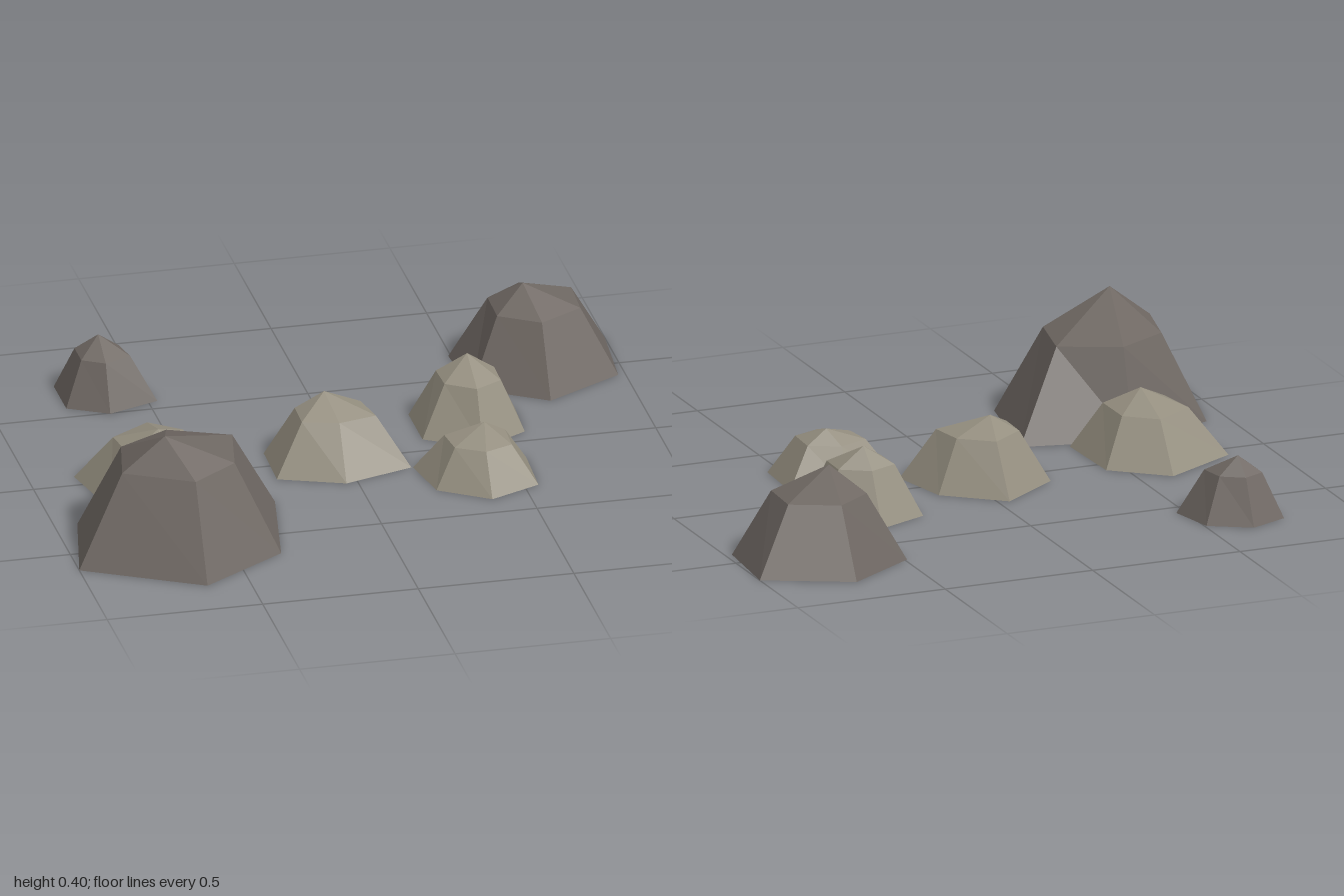
import * as THREE from 'three';

const material = (name, color) => {
  const m = new THREE.MeshStandardMaterial({ color, flatShading: true, side: THREE.DoubleSide });
  m.name = name;
  return m;
};

// Six-sided boulder, open underneath: base ring, narrower shoulder ring, off-centre peak.
// base: [x, z] offsets clockwise from the back; taper: shoulder size relative to the base.
function rockGeometry({ base, taper, shoulder, peak }) {
  const low = base.map(([x, z]) => [x, 0, z]);
  const mid = base.map(([x, z], i) => [x * taper[i], shoulder, z * taper[i]]);
  const pos = [];
  for (let i = 0; i < base.length; i++) {
    const j = (i + 1) % base.length;
    for (const p of [low[i], mid[i], mid[j], low[i], mid[j], low[j], mid[j], mid[i], peak]) pos.push(...p);
  }
  const g = new THREE.BufferGeometry();
  g.setAttribute('position', new THREE.Float32BufferAttribute(pos, 3));
  g.computeVertexNormals();
  return g;
}

export function createModel() {
  const group = new THREE.Group();
  group.name = 'rockCluster';
  const dark = material('darkStone', 0x6e6762);
  const light = material('lightStone', 0x958f80);

  const addRock = (name, mat, x, z, shape) => {
    const mesh = new THREE.Mesh(rockGeometry(shape), mat);
    mesh.name = name;
    mesh.position.set(x, 0, z);
    group.add(mesh);
  };

  // Dark boulders
  addRock('largeBoulder', dark, -0.636, 0.452, {
    base: [[0, -0.27], [0.35, -0.19], [0.28, 0.19], [0, 0.374], [-0.364, 0.17], [-0.29, -0.17]],
    taper: [0.7, 0.55, 0.54, 0.57, 0.575, 0.575], shoulder: 0.285, peak: [-0.07, 0.395, 0.09],
  });
  addRock('mediumBoulder', dark, 0.727, -0.553, {
    base: [[0, -0.273], [0.273, -0.14], [0.25, 0.14], [0, 0.28], [-0.22, 0.14], [-0.235, -0.12]],
    taper: [0.55, 0.55, 0.57, 0.575, 0.57, 0.52], shoulder: 0.215, peak: [-0.03, 0.295, 0.025],
  });
  addRock('smallDarkRock', dark, -0.636, -0.64, {
    base: [[0, -0.15], [0.13, -0.075], [0.165, 0.085], [0, 0.145], [-0.125, 0.075], [-0.125, -0.095]],
    taper: [0.57, 0.55, 0.53, 0.57, 0.55, 0.55], shoulder: 0.145, peak: [0, 0.2, -0.02],
  });

  // Light rocks
  addRock('centreRock', light, -0.037, -0.008, {
    base: [[0, -0.235], [0.18, -0.09], [0.225, 0.12], [0, 0.19], [-0.205, 0.11], [-0.2, -0.09]],
    taper: [0.55, 0.57, 0.55, 0.5, 0.55, 0.55], shoulder: 0.165, peak: [-0.02, 0.222, -0.03],
  });
  addRock('rightRock', light, -0.62, 0.067, {
    base: [[0.01, -0.268], [0.18, -0.13], [0.19, 0.14], [0.01, 0.235], [-0.18, 0.13], [-0.235, -0.13]],
    taper: [0.57, 0.57, 0.55, 0.55, 0.57, 0.53], shoulder: 0.152, peak: [0, 0.207, 0.02],
  });
  addRock('leftBackRock', light, 0.44, -0.168, {
    base: [[0, -0.18], [0.165, -0.08], [0.155, 0.1], [0, 0.187], [-0.17, 0.085], [-0.17, -0.107]],
    taper: [0.55, 0.55, 0.57, 0.57, 0.53, 0.55], shoulder: 0.165, peak: [0, 0.228, -0.03],
  });
  addRock('leftFrontRock', light, 0.38, 0.222, {
    base: [[0, -0.175], [0.175, -0.1], [0.165, 0.107], [0, 0.18], [-0.155, 0.075], [-0.187, -0.11]],
    taper: [0.57, 0.55, 0.55, 0.53, 0.57, 0.53], shoulder: 0.125, peak: [0.025, 0.168, -0.035],
  });

  return group;
}
